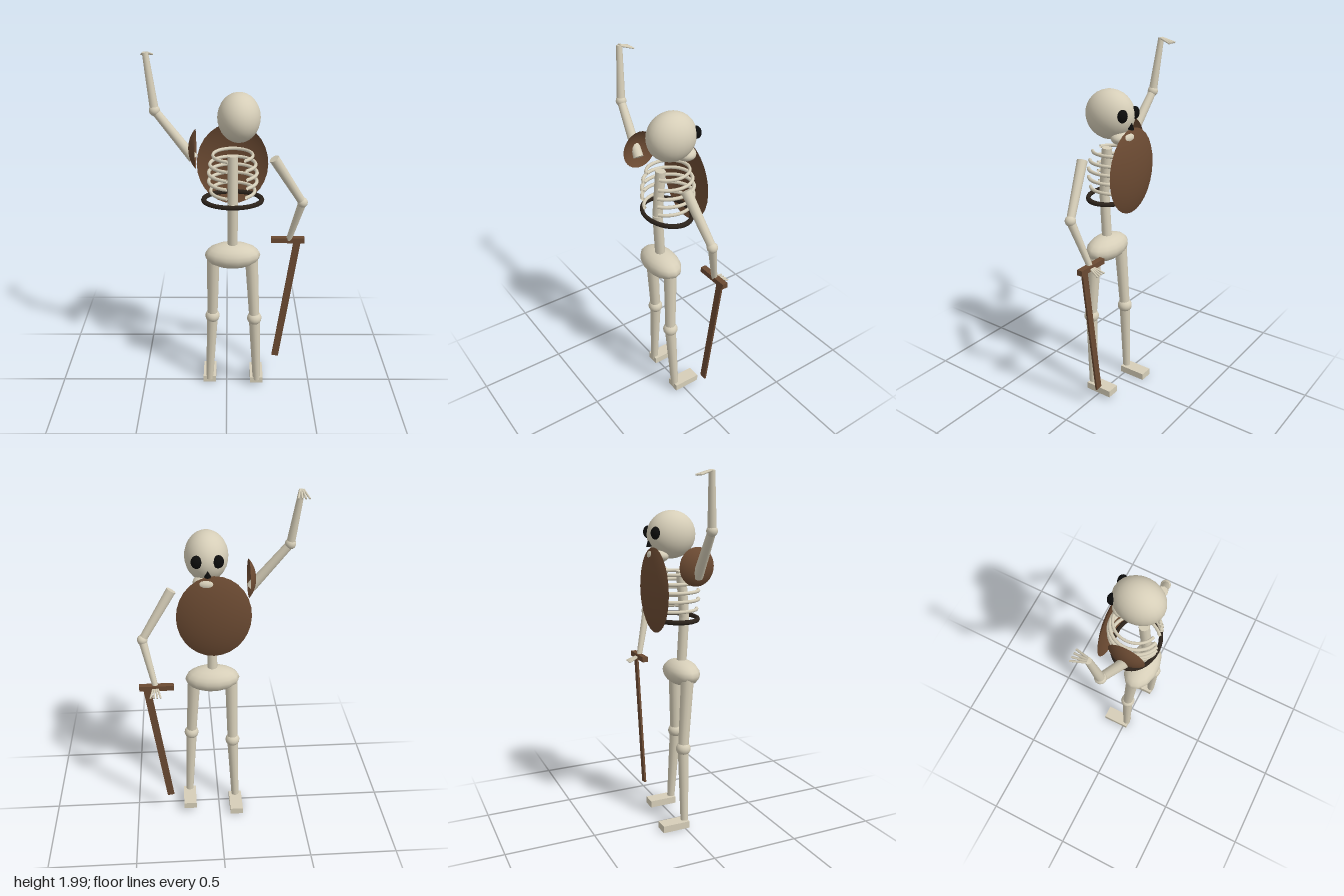
import * as THREE from 'three';

const material = (name, color) => {
  const m = new THREE.MeshStandardMaterial({ color, side: THREE.DoubleSide });
  m.name = name;
  return m;
};

export function createModel() {
  const bone = material('bone', 0xd6ceb8);
  const wood = material('wood', 0x6b4a32);
  const leather = material('leather', 0x2c231b);
  const black = material('black', 0x0c0c0c);
  const model = new THREE.Group();
  model.name = 'skeletonWarrior';

  const add = (name, geometry, mat, pos) => {
    const mesh = new THREE.Mesh(geometry, mat);
    mesh.name = name;
    mesh.position.set(...pos);
    model.add(mesh);
    return mesh;
  };
  const ellipsoid = (name, pos, size, mat = bone, w = 24, h = 16) =>
    add(name, new THREE.SphereGeometry(1, w, h).scale(...size), mat, pos);
  const box = (name, size, mat, pos) => add(name, new THREE.BoxGeometry(...size), mat, pos);

  // Tapered rod from point a to point b
  const rod = (name, a, b, ra, rb, sides = 12) => {
    const from = new THREE.Vector3(...a), to = new THREE.Vector3(...b);
    const dir = to.clone().sub(from);
    const mid = from.clone().add(to).multiplyScalar(0.5);
    const mesh = add(name, new THREE.CylinderGeometry(rb, ra, dir.length(), sides), bone, mid.toArray());
    mesh.quaternion.setFromUnitVectors(new THREE.Vector3(0, 1, 0), dir.normalize());
    return mesh;
  };

  // Shallow dome with its top at +y and its rim at y = 0
  const dome = (rx, depth, rz) => {
    const t = 0.8;
    return new THREE.SphereGeometry(1, 28, 8, 0, Math.PI * 2, 0, t)
      .translate(0, -Math.cos(t), 0)
      .scale(rx / Math.sin(t), depth / (1 - Math.cos(t)), rz / Math.sin(t));
  };

  // Skull, facing -z
  ellipsoid('skull', [0.064, 1.655, 0.005], [0.113, 0.13, 0.137]);
  ellipsoid('jaw', [0.063, 1.545, -0.075], [0.075, 0.04, 0.057]);
  for (const side of [-1, 1]) {
    ellipsoid('eyeSocket', [0.064 + side * 0.053, 1.668, -0.11], [0.03, 0.034, 0.025], black, 16, 12);
  }
  const nose = add('noseHole', new THREE.ConeGeometry(0.018, 0.035, 8), black, [0.064, 1.612, -0.128]);
  nose.rotation.x = -0.2;

  // Spine and pelvis
  rod('lowerSpine', [0.033, 0.9, 0.052], [0.033, 1.2, 0.07], 0.028, 0.028);
  rod('upperSpine', [0.033, 1.2, 0.07], [0.033, 1.46, 0.05], 0.028, 0.028);
  ellipsoid('pelvis', [0.033, 0.885, 0.052], [0.155, 0.073, 0.093], bone, 14, 10);

  // Ribs, open at the back around the spine
  const ribs = [[1.45, 0.107, 0.118], [1.4, 0.123, 0.133], [1.353, 0.13, 0.141], [1.305, 0.13, 0.141], [1.25, 0.12, 0.132]];
  for (const [y, rx, rz] of ribs) {
    const ring = new THREE.TorusGeometry(1, 0.075, 8, 32, THREE.MathUtils.degToRad(310))
      .rotateZ(THREE.MathUtils.degToRad(105))
      .rotateX(Math.PI / 2)
      .scale(rx, 0.13, rz);
    add('rib', ring, bone, [0.033, y, 0.003]);
  }

  // Belt
  add('belt', new THREE.TorusGeometry(1, 0.09, 8, 32).rotateX(Math.PI / 2).scale(0.158, 0.15, 0.122),
    leather, [0.033, 1.2, 0.01]);

  // Legs and feet
  const legs = [
    { name: 'left', hip: [0.138, 0.87, 0.06], knee: [0.16, 0.488, 0.073], ankle: [0.18, 0.045, 0.052], foot: [0.18, 0.043, -0.013] },
    { name: 'right', hip: [-0.075, 0.87, 0.04], knee: [-0.083, 0.467, 0.012], ankle: [-0.104, 0.02, 0.01], foot: [-0.103, 0.02, -0.055] },
  ];
  for (const { name, hip, knee, ankle, foot } of legs) {
    rod(name + 'Thigh', hip, knee, 0.036, 0.029);
    ellipsoid(name + 'Knee', knee, [0.042, 0.04, 0.042], bone, 16, 12);
    rod(name + 'Shin', knee, ankle, 0.032, 0.022);
    box(name + 'Foot', [0.076, 0.04, 0.16], bone, foot);
  }

  // Arms with four spread fingers
  const arms = [
    { name: 'left', shoulder: [0.25, 1.445, 0.046], elbow: [0.415, 1.178, -0.002], wrist: [0.355, 0.92, -0.075], drop: -0.03 },
    { name: 'right', shoulder: [-0.175, 1.45, 0.05], elbow: [-0.369, 1.698, 0.028], wrist: [-0.406, 1.985, 0.004], drop: -0.022 },
  ];
  for (const { name, shoulder, elbow, wrist, drop } of arms) {
    rod(name + 'UpperArm', shoulder, elbow, 0.028, 0.022);
    ellipsoid(name + 'Elbow', elbow, [0.029, 0.029, 0.029], bone, 16, 12);
    rod(name + 'Forearm', elbow, wrist, 0.023, 0.016);
    for (let i = 0; i < 4; i++) {
      const s = i - 1.5;
      const tip = [wrist[0] + s * 0.019, wrist[1] + drop, wrist[2] - 0.072];
      rod(name + 'Finger', [wrist[0] + s * 0.006, wrist[1], wrist[2]], tip, 0.006, 0.005, 6);
    }
  }

  // Chest shield and shoulder guard
  add('chestShield', dome(0.197, 0.042, 0.232).rotateX(-Math.PI / 2), wood, [0.032, 1.36, -0.112]);
  add('shoulderGuard', dome(0.104, 0.038, 0.1).rotateZ(Math.PI / 2), wood, [-0.162, 1.5, 0.05]);

  // Sword
  box('swordGuard', [0.19, 0.03, 0.032], wood, [0.349, 0.917, -0.077]);
  const blade = box('swordBlade', [0.04, 0.785, 0.012], wood, [0.35, 0.518, -0.075]);
  blade.rotation.z = -0.136;

  return model;
}
